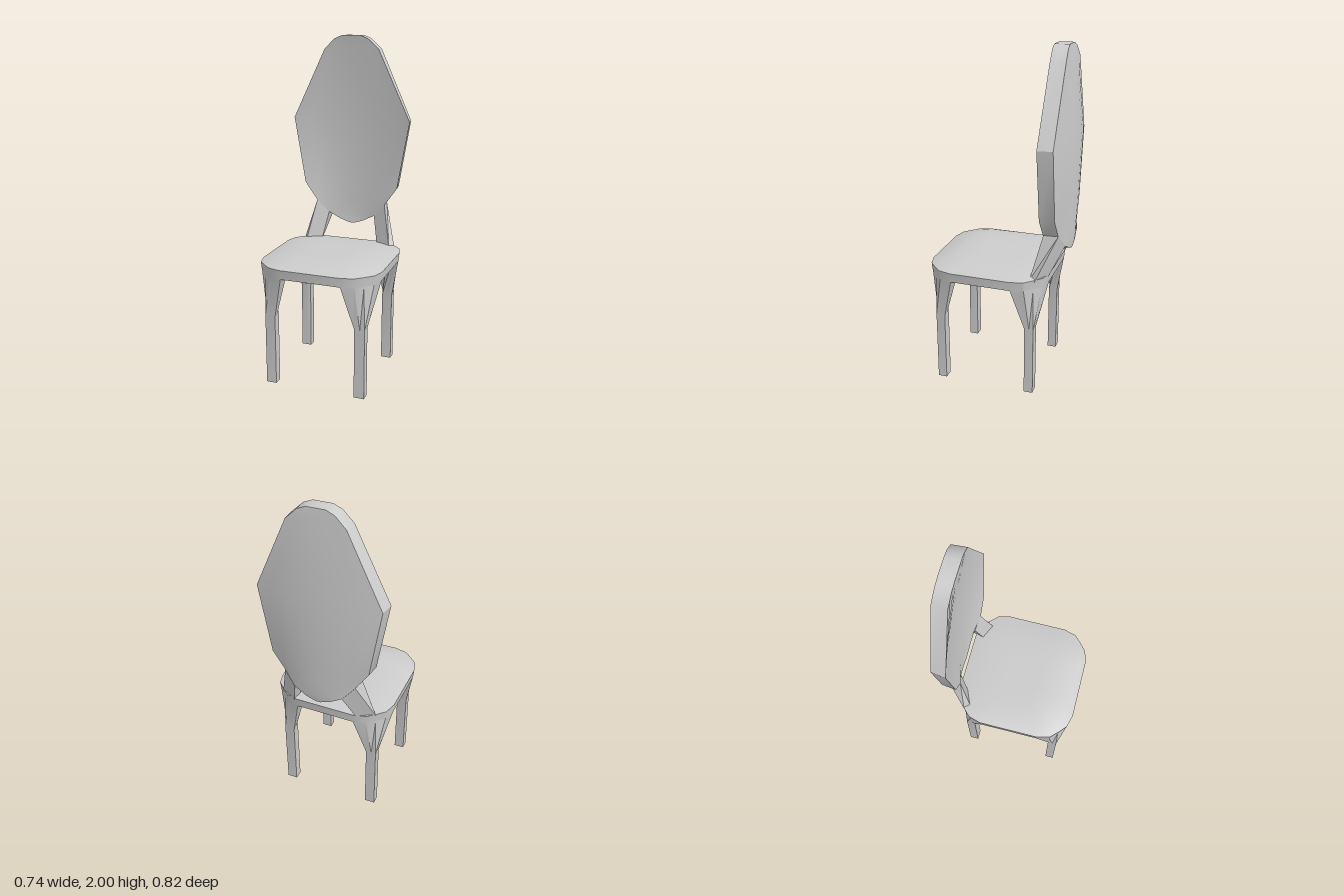
import * as THREE from 'three';
import { toCreasedNormals } from 'three/addons/utils/BufferGeometryUtils.js';

const material = new THREE.MeshStandardMaterial({ color: 0xcccccc, side: THREE.DoubleSide });

// Skin a stack of rings (counter-clockwise seen from above), with optional fan caps.
function loft(name, rings, { bottom = true, top = true, crease = 0.5 } = {}) {
  const pos = [];
  const tri = (...pts) => pts.forEach((p) => pos.push(...p));
  const n = rings[0].length;
  for (let i = 0; i < rings.length - 1; i++) {
    for (let j = 0; j < n; j++) {
      const k = (j + 1) % n;
      const a = rings[i][j], b = rings[i][k], c = rings[i + 1][k], d = rings[i + 1][j];
      tri(a, b, c);
      tri(a, c, d);
    }
  }
  const cap = (ring, up) => {
    const mid = [0, 1, 2].map((q) => ring.reduce((s, p) => s + p[q], 0) / n);
    ring.forEach((p, j) => {
      const next = ring[(j + 1) % n];
      if (up) tri(mid, p, next);
      else tri(mid, next, p);
    });
  };
  if (bottom) cap(rings[0], false);
  if (top) cap(rings[rings.length - 1], true);
  const geometry = new THREE.BufferGeometry();
  geometry.setAttribute('position', new THREE.Float32BufferAttribute(pos, 3));
  const mesh = new THREE.Mesh(toCreasedNormals(geometry, crease), material);
  mesh.name = name;
  return mesh;
}

// Mirror a ring in x and/or about the seat's middle, keeping its winding.
const SEAT_Z = 0.05;
function mirror(ring, sx, sz = 1) {
  const out = ring.map(([x, y, z]) => [x * sx, y, SEAT_Z + (z - SEAT_Z) * sz]);
  return sx * sz < 0 ? out.reverse() : out;
}

// Rounded front-left corner of the seat, relative to the seat's middle.
const corner = [[0.18, 0.36], [0.255, 0.34], [0.3, 0.3], [0.345, 0.255], [0.365, 0.18]];
const INNER = 0.89;

function seatRing(scale, height) {
  const quarter = corner.map(([x, z]) => [x * scale, 0, SEAT_Z + z * scale]);
  const ring = [[1, 1], [1, -1], [-1, -1], [-1, 1]].flatMap(([sx, sz]) => mirror(quarter, sx, sz));
  return ring.map(([x, , z]) => [x, typeof height === 'function' ? height(z) : height, z]);
}

function createSeat() {
  const seat = new THREE.Group();
  seat.name = 'seat';
  // Apron band with a recessed underside
  seat.add(loft('apron', [
    seatRing(INNER, 0.725), seatRing(INNER, 0.68), seatRing(0.985, 0.68), seatRing(1, 0.735),
  ], { top: false }));
  // Low cushion, slightly higher at the front
  const slope = (z) => 0.766 + 0.04 * (z - SEAT_Z);
  seat.add(loft('cushion', [
    seatRing(1, 0.735), seatRing(0.88, (z) => 0.747 + 0.012 * (z - SEAT_Z)),
    seatRing(0.62, slope), seatRing(0.3, slope),
  ], { bottom: false, crease: 0.7 }));
  return seat;
}

// Square leg flaring out to the rounded seat corner
function createLeg(name, sx, sz) {
  const foot = [
    [0.242, 0.35], [0.275, 0.35], [0.303, 0.35], [0.303, 0.325],
    [0.303, 0.297], [0.27, 0.297], [0.242, 0.297], [0.242, 0.325],
  ];
  const at = (y) => foot.map(([x, z]) => [x, y, z]);
  const inner = [4, 2, 0].map((i) => corner[i].map((v) => v * INNER));
  const flare = [...corner.map((p) => p.map((v) => v * 0.985)), ...inner]
    .map(([x, z]) => [x, 0.68, SEAT_Z + z]);
  const rings = [at(0), at(0.42), flare];
  return loft(name, rings.map((r) => mirror(r, sx, sz)), { top: false });
}

// Slanted post joining the seat to the back panel
function createUpright(name, sx) {
  const rings = [
    [[0.185, 0.72, -0.255], [0.275, 0.72, -0.215], [0.3, 0.72, -0.25], [0.2, 0.72, -0.305]],
    [[0.15, 0.9, -0.297], [0.222, 0.98, -0.278], [0.215, 0.98, -0.362], [0.145, 0.9, -0.387]],
  ];
  return loft(name, rings.map((r) => mirror(r, sx)));
}

// Tall oval panel, bowed backwards
function createBackPanel() {
  // height, half width, width over which the bow fades, depth of the bow
  const rows = [
    [0.84, 0.015, 0.25, 0.035], [0.86, 0.075, 0.25, 0.038], [0.9, 0.15, 0.25, 0.042],
    [0.98, 0.222, 0.23, 0.044], [1.09, 0.3, 0.3, 0.046], [1.5, 0.37, 0.37, 0.053],
    [1.92, 0.17, 0.37, 0.01], [1.98, 0.105, 0.37, 0.003], [2, 0.055, 0.37, 0],
  ];
  const across = [-1, -0.73, -0.46, -0.22, 0, 0.22, 0.46, 0.73, 1];
  const rings = rows.map(([y, w, fade, depth]) => {
    const bow = (x) => depth * (1 - (x / fade) ** 2);
    const front = across.map((u) => [u * w, y, -0.273 - bow(u * w)]);
    const back = across.map((u) => [u * w * 0.965, y, -0.358 - bow(u * w)]).reverse();
    return [...front, ...back];
  });
  return loft('backPanel', rings);
}

export function createModel() {
  const chair = new THREE.Group();
  chair.name = 'chair';
  chair.add(createSeat(), createBackPanel());
  for (const [side, sx] of [['Left', 1], ['Right', -1]]) {
    chair.add(createLeg(`front${side}Leg`, sx, 1));
    chair.add(createLeg(`back${side}Leg`, sx, -1));
    chair.add(createUpright(`back${side}Upright`, sx));
  }
  return chair;
}
